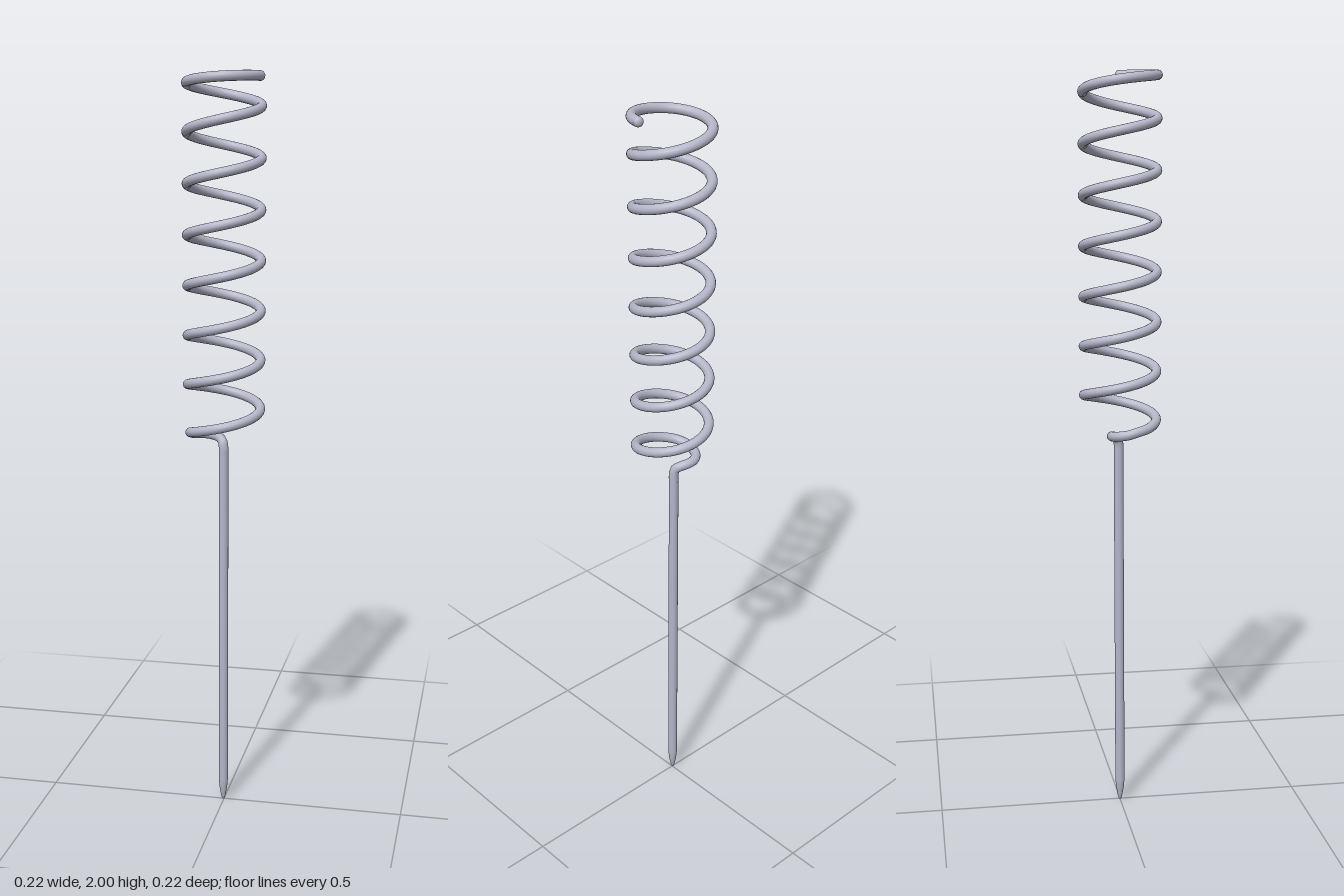
import * as THREE from 'three';

const WIRE = 0.013;      // wire radius
const COIL = 0.0965;     // coil radius to the wire centre
const PITCH = 0.131;
const TURNS = 7.48;

// Height of the coil centre line, levelling off over the last turn
function coilHeight(turn) {
  const d = Math.max(0, turn - 6.7);
  return 1.06 + PITCH * turn - 0.085 * d * d;
}

function coilPoint(turn) {
  const a = turn * Math.PI * 2;
  return new THREE.Vector3(-COIL * Math.cos(a), coilHeight(turn), COIL * Math.sin(a));
}

export function createModel() {
  const group = new THREE.Group();
  const material = new THREE.MeshStandardMaterial({ color: 0xb4b6c8 });
  const add = (name, geometry) => {
    const mesh = new THREE.Mesh(geometry, material);
    mesh.name = name;
    group.add(mesh);
    return mesh;
  };

  // Straight stake with a tapered, blunt tip, leaning very slightly back
  const profile = [
    [0, 0], [0.003, 0.001], [0.006, 0.01], [0.0105, 0.035], [WIRE, 0.06], [WIRE, 0.5], [WIRE, 1.0],
  ].map(([r, y]) => new THREE.Vector2(r, y));
  const stake = add('stake', new THREE.LatheGeometry(profile, 20));
  stake.position.x = -0.002;
  stake.rotation.x = -0.004;

  // Hook from the stake out to the coil, then the coil itself
  const points = [
    [-0.002, 1.0, -0.004], [-0.002, 1.02, -0.004], [-0.005, 1.036, -0.007], [-0.016, 1.046, -0.019],
    [-0.032, 1.05, -0.027], [-0.052, 1.053, -0.028], [-0.072, 1.056, -0.016],
    [-0.084, 1.06, 0.006], [-0.086, 1.067, 0.03],
  ].map((p) => new THREE.Vector3(...p));
  const start = 0.11;
  const steps = 150;
  for (let i = 0; i <= steps; i++) {
    points.push(coilPoint(start + (TURNS - start) * i / steps));
  }
  const path = new THREE.CatmullRomCurve3(points);
  path.arcLengthDivisions = 2500;
  add('coil', new THREE.TubeGeometry(path, 520, WIRE, 16));

  // Rounded end of the wire
  const cap = add('coilEnd', new THREE.SphereGeometry(WIRE, 16, 8, 0, Math.PI * 2, 0, Math.PI / 2));
  cap.position.copy(path.getPoint(1));
  cap.quaternion.setFromUnitVectors(new THREE.Vector3(0, 1, 0), path.getTangent(1));
  cap.scale.y = 0.8;

  return group;
}
